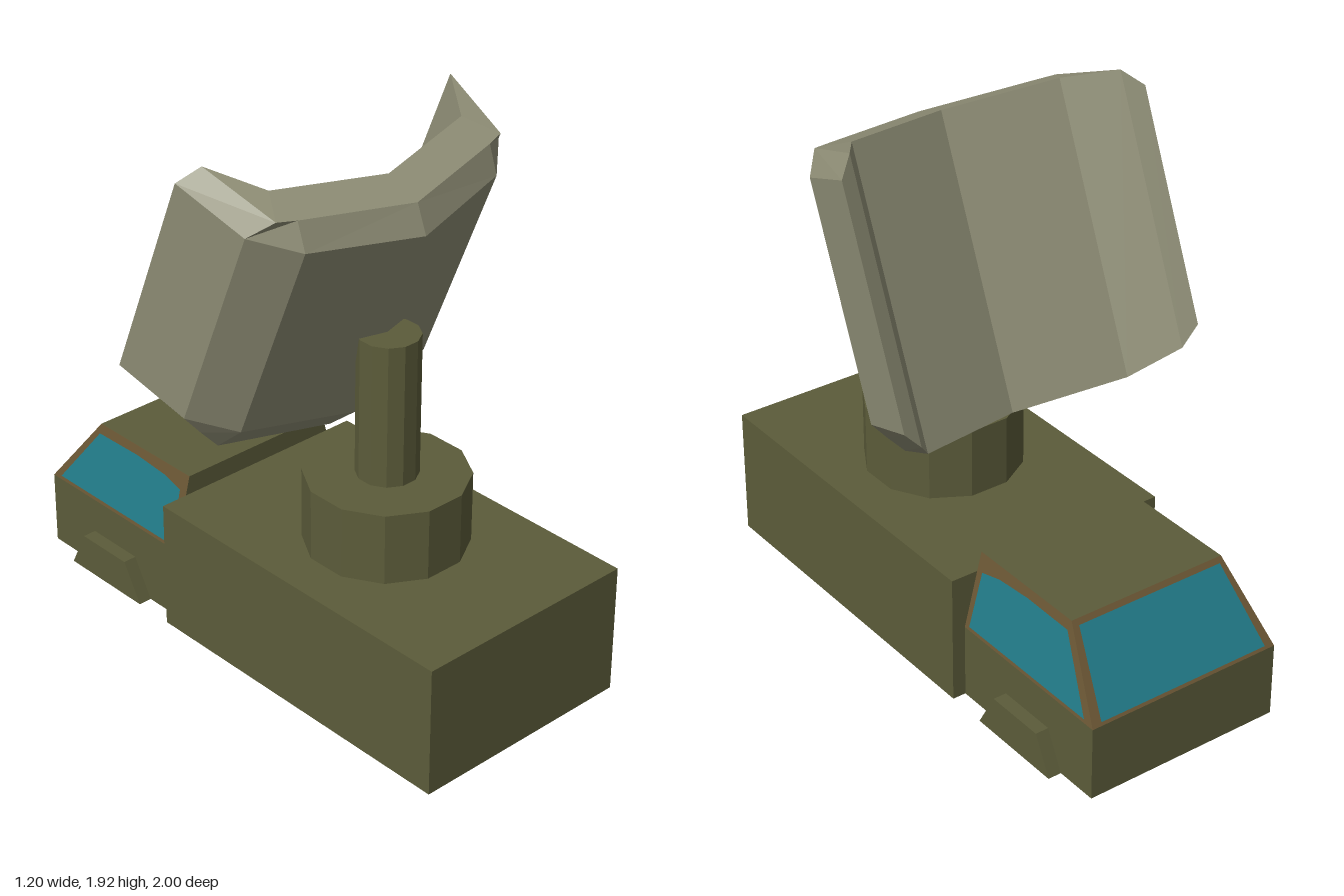
import * as THREE from 'three';

const olive = new THREE.MeshStandardMaterial({ color: 0x5c5c3a });
olive.name = 'olive paint';
const grey = new THREE.MeshStandardMaterial({ color: 0x8f8e76 });
grey.name = 'dish grey';
const brown = new THREE.MeshStandardMaterial({ color: 0x6a5634 });
brown.name = 'window frame brown';
const teal = new THREE.MeshStandardMaterial({ color: 0x217a87 });
teal.name = 'teal glass';

function add(group, name, geometry, material, x = 0, y = 0, z = 0) {
  const mesh = new THREE.Mesh(geometry, material);
  mesh.name = name;
  mesh.position.set(x, y, z);
  group.add(mesh);
  return mesh;
}

// Faceted geometry from corner loops (counter-clockwise seen from outside)
function facets(polygons) {
  const pos = [];
  for (const p of polygons) {
    for (let i = 1; i < p.length - 1; i++) {
      const [a, b, c] = [p[0], p[i], p[i + 1]].map(v => new THREE.Vector3(...v));
      const area = b.clone().sub(a).cross(c.clone().sub(a)).length();
      if (area > 1e-7) pos.push(...a, ...b, ...c);
    }
  }
  const g = new THREE.BufferGeometry();
  g.setAttribute('position', new THREE.Float32BufferAttribute(pos, 3));
  g.computeVertexNormals();
  return g;
}

// Twelve-sided drum with a flat side facing front
function drum(radius, height) {
  const g = new THREE.CylinderGeometry(radius, radius, height, 12).rotateY(Math.PI / 12).toNonIndexed();
  g.computeVertexNormals();
  return g;
}

// Curved dish panel: rings of [x, n, u] corners lofted across x, then tilted
function dishGeometry() {
  const top = 1.81, topEdge = 1.73, low = 0.765, lowEdge = 0.904;
  const half = [
    [[0, 0.167, topEdge], [0, 0.243, top], [0, 0.384, top],
      [0, 0.384, low], [0, 0.243, low], [0, 0.167, lowEdge]],
    [[0.415, 0.276, topEdge], [0.415, 0.346, top], [0.415, 0.488, top],
      [0.415, 0.488, low], [0.415, 0.346, low], [0.415, 0.276, lowEdge]],
    [[0.55, 0.41, topEdge], [0.485, 0.368, top], [0.535, 0.67, 1.80],
      [0.535, 0.67, 0.84], [0.485, 0.377, 0.835], [0.55, 0.41, lowEdge]],
    // The outer rim closes to a single edge
    [topEdge, topEdge, topEdge, lowEdge, lowEdge, lowEdge].map(u => [0.6, 0.697, u]),
  ];
  const mirrored = half.slice(1).reverse().map(r => r.map(([x, n, u]) => [-x, n, u]));
  const c = 0.925, s = 0.38;
  const rings = [...mirrored, ...half].map(r =>
    r.map(([x, n, u]) => [x, c * u + s * n, s * u - c * n]));
  const faces = [];
  for (let i = 0; i < rings.length - 1; i++) {
    for (let k = 0; k < 6; k++) {
      const m = (k + 1) % 6;
      const [a, b] = [rings[i], rings[i + 1]];
      // Split quads symmetrically about the middle
      if (i < 3) faces.push([a[k], b[k], b[m], a[m]]);
      else faces.push([b[k], b[m], a[m], a[k]]);
    }
  }
  return facets(faces);
}

export function createModel() {
  const model = new THREE.Group();
  model.name = 'radarTruck';

  // Truck body and lower cab
  add(model, 'truckBody', new THREE.BoxGeometry(0.86, 0.48, 1.31), olive, 0, 0.24, 0.345);
  const sill = 0.275, roof = 0.55;
  add(model, 'lowerCab', new THREE.BoxGeometry(0.76, sill, 0.69), olive, 0, sill / 2, -0.655);

  // Upper cab: a box with its top drawn in at the sides and the windscreen
  const upper = new THREE.BoxGeometry(0.76, roof - sill, 0.69);
  upper.translate(0, (roof + sill) / 2, -0.655);
  const p = upper.attributes.position;
  for (let i = 0; i < p.count; i++) {
    if (p.getY(i) < 0.4) continue;
    p.setX(i, Math.sign(p.getX(i)) * 0.31);
    if (p.getZ(i) < -0.6) p.setZ(i, -0.795);
  }
  upper.computeVertexNormals();
  add(model, 'upperCab', upper, [brown, brown, olive, olive, olive, brown]);

  // Side windows lie just outside the sloping cab sides
  const outline = [[-0.335, 0.29], [-0.955, 0.29], [-0.79, 0.517],
    [-0.58, 0.52], [-0.43, 0.51], [-0.34, 0.49]];
  for (const side of [1, -1]) {
    const pts = outline.map(([z, y]) =>
      [side * (0.384 - (y - sill) * 0.07 / (roof - sill)), y, z]);
    add(model, side > 0 ? 'leftWindow' : 'rightWindow',
      facets([side > 0 ? pts : pts.reverse()]), teal);
  }

  // Windscreen
  const screen = [[0.342, 0.287], [-0.342, 0.287], [-0.292, 0.535], [0.292, 0.535]]
    .map(([x, y]) => [x, y, -1.005 + (y - sill) * 0.205 / (roof - sill)]);
  add(model, 'windscreen', facets([screen]), teal);

  // Wheel arches
  const arch = new THREE.Shape([[0.46, 0], [0.84, 0], [0.77, 0.14], [0.54, 0.14]]
    .map(([x, y]) => new THREE.Vector2(x, y)));
  const archGeometry = new THREE.ExtrudeGeometry(arch, { depth: 0.06, bevelEnabled: false });
  archGeometry.rotateY(Math.PI / 2);
  add(model, 'leftWheelArch', archGeometry, olive, 0.37);
  add(model, 'rightWheelArch', archGeometry, olive, -0.43);

  // Turntable, mast and dish
  add(model, 'turntable', drum(0.285, 0.26), olive, 0, 0.61, 0.345);
  add(model, 'mast', drum(0.108, 0.52), olive, 0, 1.0, 0.345);
  add(model, 'radarDish', dishGeometry(), grey);

  return model;
}
